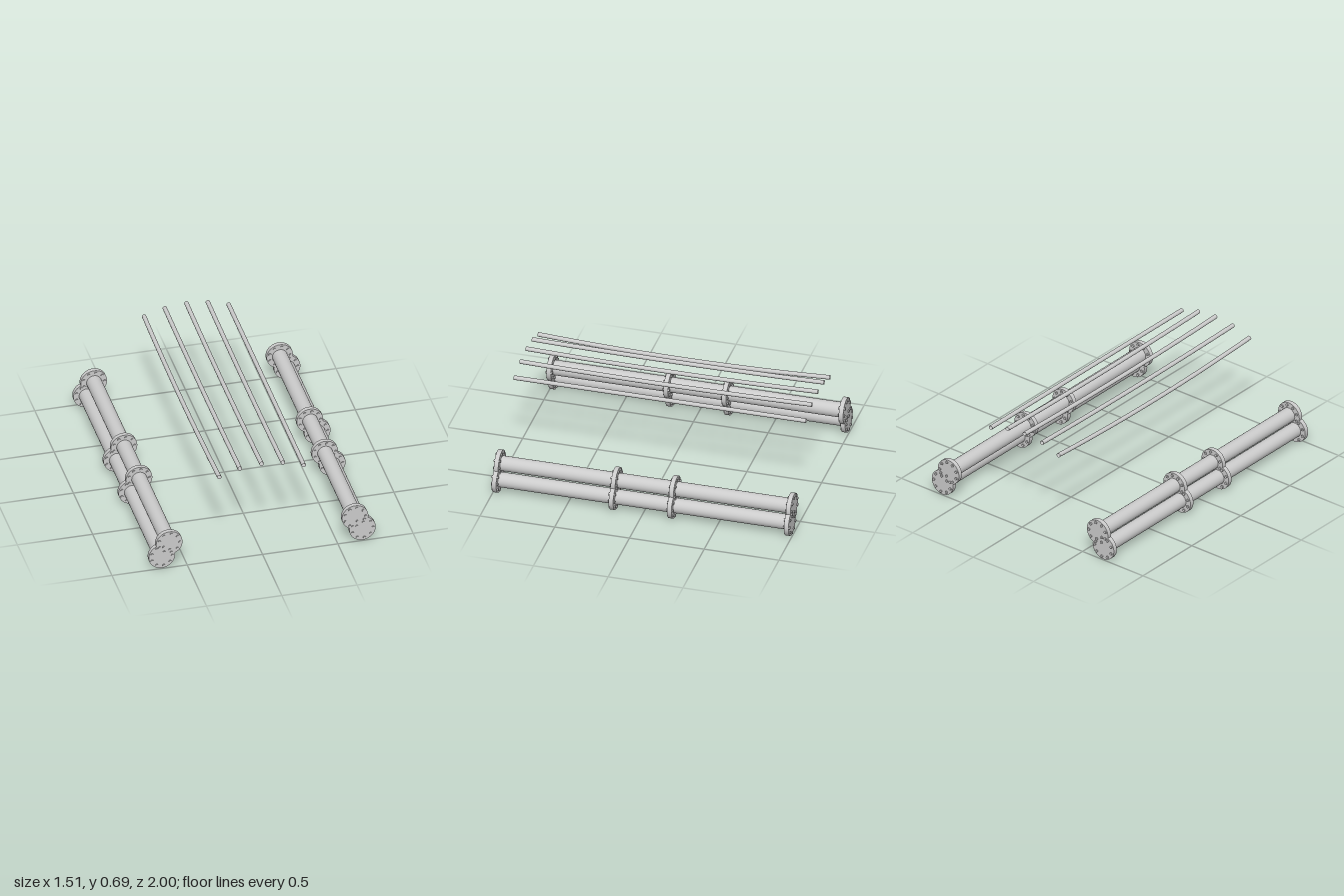
import * as THREE from 'three';

const material = new THREE.MeshStandardMaterial({ color: 0xcccccc });
const openMaterial = new THREE.MeshStandardMaterial({ color: 0xcccccc, side: THREE.DoubleSide });

// Cylinder lying along z
function zCylinder(radius, length, sides) {
  return new THREE.CylinderGeometry(radius, radius, length, sides).rotateX(Math.PI / 2);
}

const pipeGeo = zCylinder(0.05, 1.955, 32);
const flangeGeo = zCylinder(0.0875, 0.03, 40);
const boltGeo = zCylinder(0.009, 0.045, 12);
const flangeStations = [-0.9775, -0.195, 0.195, 0.9775];
const boltCount = 9;
const boltCircle = 0.07;

function add(parent, geometry, name, x = 0, y = 0, z = 0) {
  const mesh = new THREE.Mesh(geometry, material);
  mesh.name = name;
  mesh.position.set(x, y, z);
  parent.add(mesh);
}

// Flange disc with a ring of through bolts
function makeFlange(z) {
  const flange = new THREE.Group();
  flange.name = 'flange';
  flange.position.z = z;
  add(flange, flangeGeo, 'flangeDisc');
  for (let i = 0; i < boltCount; i++) {
    const a = (i / boltCount) * Math.PI * 2;
    add(flange, boltGeo, 'bolt', boltCircle * Math.cos(a), boltCircle * Math.sin(a));
  }
  return flange;
}

// Long pipe with flanged joints
function makePipe(name, x, y) {
  const pipe = new THREE.Group();
  pipe.name = name;
  pipe.position.set(x, y, 0);
  add(pipe, pipeGeo, 'pipeBody');
  for (const z of flangeStations) pipe.add(makeFlange(z));
  return pipe;
}

// Open thin tube that sags in the middle
function makeCable(x, endY, sag) {
  const points = [];
  for (let i = 0; i <= 8; i++) {
    const t = i / 4 - 1;
    points.push(new THREE.Vector3(x, endY - sag * (1 - t * t), t * 0.977));
  }
  const curve = new THREE.CatmullRomCurve3(points);
  const cable = new THREE.Mesh(new THREE.TubeGeometry(curve, 24, 0.0145, 12), openMaterial);
  cable.name = 'cable';
  return cable;
}

export function createModel() {
  const model = new THREE.Group();
  model.name = 'pipesAndCables';

  // A pair of stacked pipes on each side
  for (const side of [-1, 1]) {
    const label = side > 0 ? 'left' : 'right';
    model.add(makePipe(label + 'UpperPipe', side * 0.617, 0.182));
    model.add(makePipe(label + 'LowerPipe', side * 0.666, 0.0885));
  }

  // Overhead arc of cables: x, end height, sag
  const cables = [
    [-0.281, 0.625, 0.027],
    [-0.144, 0.667, 0.011],
    [0, 0.681, 0.015],
    [0.142, 0.667, 0.012],
    [0.28, 0.626, 0],
  ];
  for (const [x, endY, sag] of cables) model.add(makeCable(x, endY, sag));

  return model;
}
